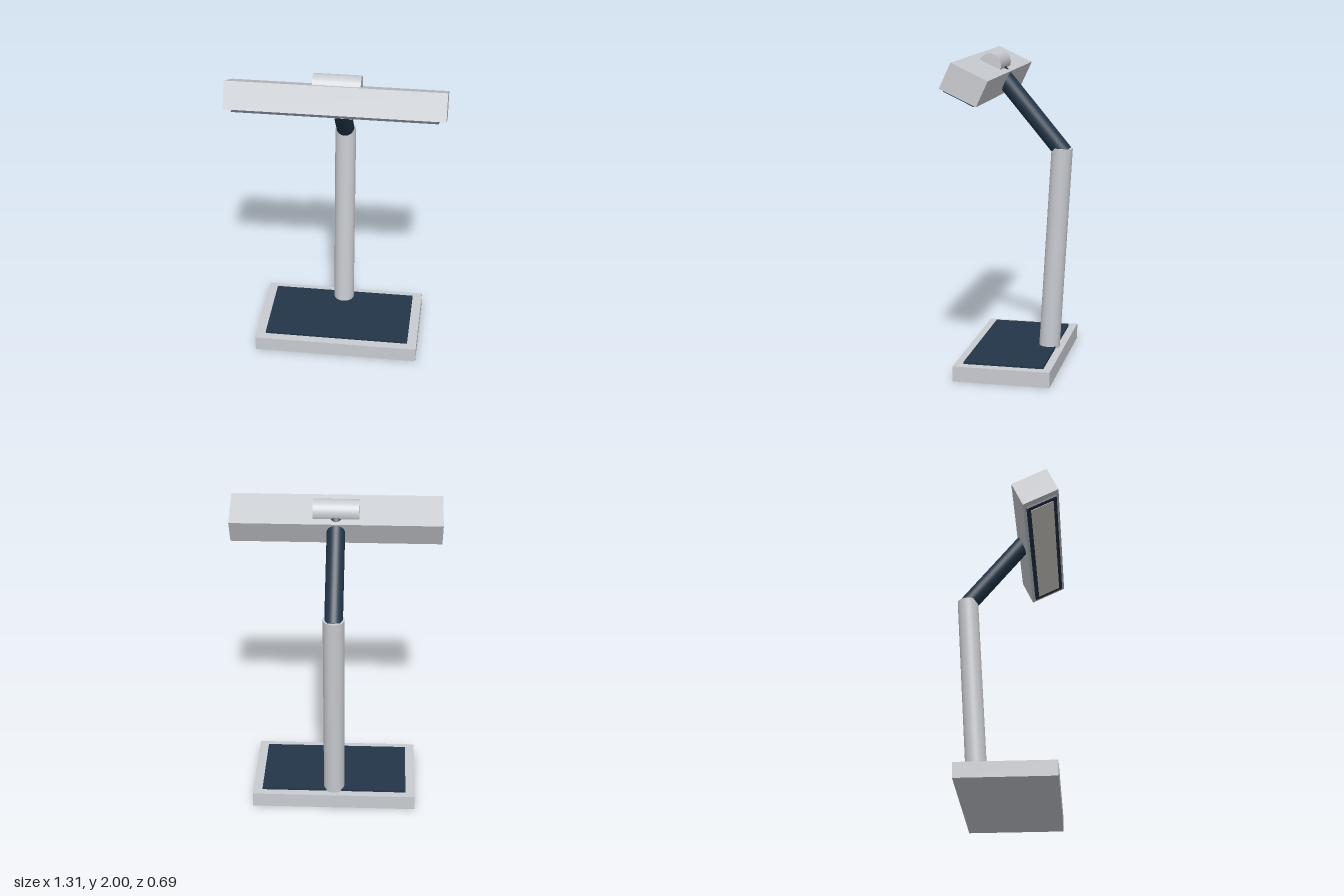
import * as THREE from 'three';

const mat = (name, color) => {
  const m = new THREE.MeshStandardMaterial({ color });
  m.name = name;
  return m;
};

export function createModel() {
  const silver = mat('silver grey', 0xc8cbd0);
  const navy = mat('dark navy', 0x223548);
  const diffuser = mat('warm white', 0xd9d5cf);

  const model = new THREE.Group();
  model.name = 'deskLamp';

  const box = (name, parent, material, size, pos) => {
    const m = new THREE.Mesh(new THREE.BoxGeometry(...size), material);
    m.name = name;
    m.position.set(...pos);
    parent.add(m);
    return m;
  };

  // Round rod between two points in the plane x = 0, given as [y, z]
  const rod = (name, material, radius, [y0, z0], [y1, z1]) => {
    const a = new THREE.Vector3(0, y0, z0);
    const b = new THREE.Vector3(0, y1, z1);
    const dir = b.clone().sub(a);
    const m = new THREE.Mesh(new THREE.CylinderGeometry(radius, radius, dir.length(), 32), material);
    m.name = name;
    m.position.copy(a).add(b).multiplyScalar(0.5);
    m.quaternion.setFromUnitVectors(new THREE.Vector3(0, 1, 0), dir.normalize());
    model.add(m);
    return m;
  };

  // Base slab with inset pad
  box('base', model, silver, [1.064, 0.097, 0.61], [0, 0.0485, 0.01]);
  box('basePad', model, navy, [0.942, 0.02, 0.505], [0, 0.101, 0.0075]);

  // Leaning post and upper arm
  rod('post', silver, 0.067, [0.08, -0.197], [1.404, -0.273]);
  rod('arm', navy, 0.057, [1.373, -0.285], [1.88, 0.137]);

  // Tilted lamp head with a framed light panel underneath
  const head = new THREE.Group();
  head.name = 'head';
  head.position.set(0, 1.857, 0.2);
  head.rotation.x = -THREE.MathUtils.degToRad(25);
  model.add(head);
  box('headHousing', head, silver, [1.314, 0.169, 0.245], [0, 0, 0]);
  box('lightFrame', head, navy, [1.224, 0.02, 0.203], [0, -0.089, 0]);
  box('lightPanel', head, diffuser, [1.152, 0.008, 0.155], [0, -0.098, 0]);

  // Hinge barrel across the top of the head
  const hinge = new THREE.Mesh(new THREE.CylinderGeometry(0.072, 0.072, 0.288, 32), silver);
  hinge.name = 'hingeBarrel';
  hinge.rotation.z = Math.PI / 2;
  hinge.position.set(0, 1.928, 0.16);
  model.add(hinge);

  return model;
}
